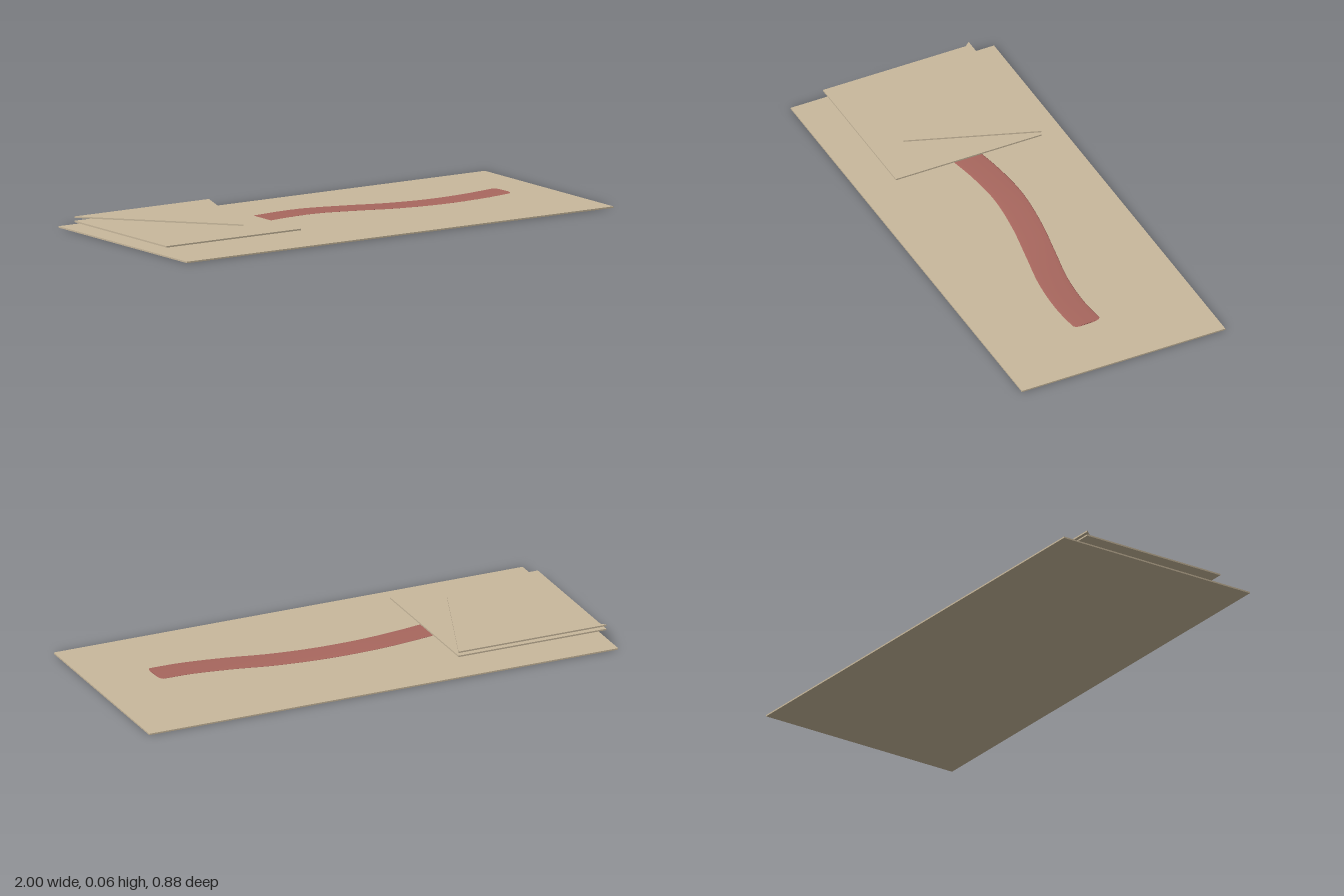
import * as THREE from 'three';

const SHEET = 0.006;

export function createModel() {
  const model = new THREE.Group();
  const paper = new THREE.MeshStandardMaterial({ color: 0xc8b89c });
  paper.name = 'tanPaper';
  const red = new THREE.MeshStandardMaterial({ color: 0xa8675e });
  red.name = 'dustyRed';

  const add = (name, geometry, material) => {
    const mesh = new THREE.Mesh(geometry, material);
    mesh.name = name;
    model.add(mesh);
  };

  // Flat sheet from [x, z] corners, its underside at height y
  const sheet = (name, corners, y) => {
    const shape = new THREE.Shape(corners.map(([x, z]) => new THREE.Vector2(x, -z)));
    const geometry = new THREE.ExtrudeGeometry(shape, { depth: SHEET, bevelEnabled: false });
    geometry.rotateX(-Math.PI / 2).translate(0, y, 0);
    add(name, geometry, paper);
  };

  sheet('baseSheet', [[-1, 0.44], [1, 0.44], [1, -0.44], [-1, -0.44]], 0);
  sheet('squareSheet', [[-1, 0.3], [-0.37, 0.3], [-0.37, -0.33], [-1, -0.33]], 0.039);
  sheet('triangleFlap', [[-0.555, 0.175], [-0.37, -0.33], [-1, -0.33]], 0.056);

  // Ribbon: a flattened tube swept along a gentle wave
  const path = new THREE.CatmullRomCurve3([
    [-0.43, 0.030, -0.008], [-0.27, 0.0305, -0.036], [-0.1, 0.029, -0.05],
    [0.09, 0.0225, -0.036], [0.27, 0.0175, -0.005], [0.45, 0.0195, 0.029],
    [0.62, 0.025, 0.042], [0.76, 0.030, 0.035],
  ].map((p) => new THREE.Vector3(...p)));
  const ribbon = new THREE.CylinderGeometry(1, 1, 1, 24, 60);
  const pos = ribbon.attributes.position;
  for (let i = 0; i < pos.count; i++) {
    const t = 0.5 - pos.getY(i);
    const across = pos.getZ(i);
    const lift = pos.getX(i);
    const p = path.getPoint(t);
    const d = path.getTangent(t);
    const len = Math.hypot(d.x, d.z);
    // The far end has slightly rounded corners
    const trim = t > 0.999 ? 0.012 * Math.abs(across) ** 6 : 0;
    pos.setXYZ(
      i,
      p.x - (d.z / len) * across * 0.059 - trim,
      p.y + lift * 0.0022,
      p.z + (d.x / len) * across * 0.059,
    );
  }
  // Keep the winding outward after the remapping
  const index = ribbon.index.array;
  const a = new THREE.Vector3(), b = new THREE.Vector3(), c = new THREE.Vector3();
  let volume = 0;
  for (let i = 0; i < index.length; i += 3) {
    a.fromBufferAttribute(pos, index[i]);
    b.fromBufferAttribute(pos, index[i + 1]);
    c.fromBufferAttribute(pos, index[i + 2]);
    volume += a.dot(b.cross(c));
  }
  if (volume < 0) index.reverse();
  ribbon.computeVertexNormals();
  add('ribbon', ribbon, [red, red, red]);

  return model;
}
